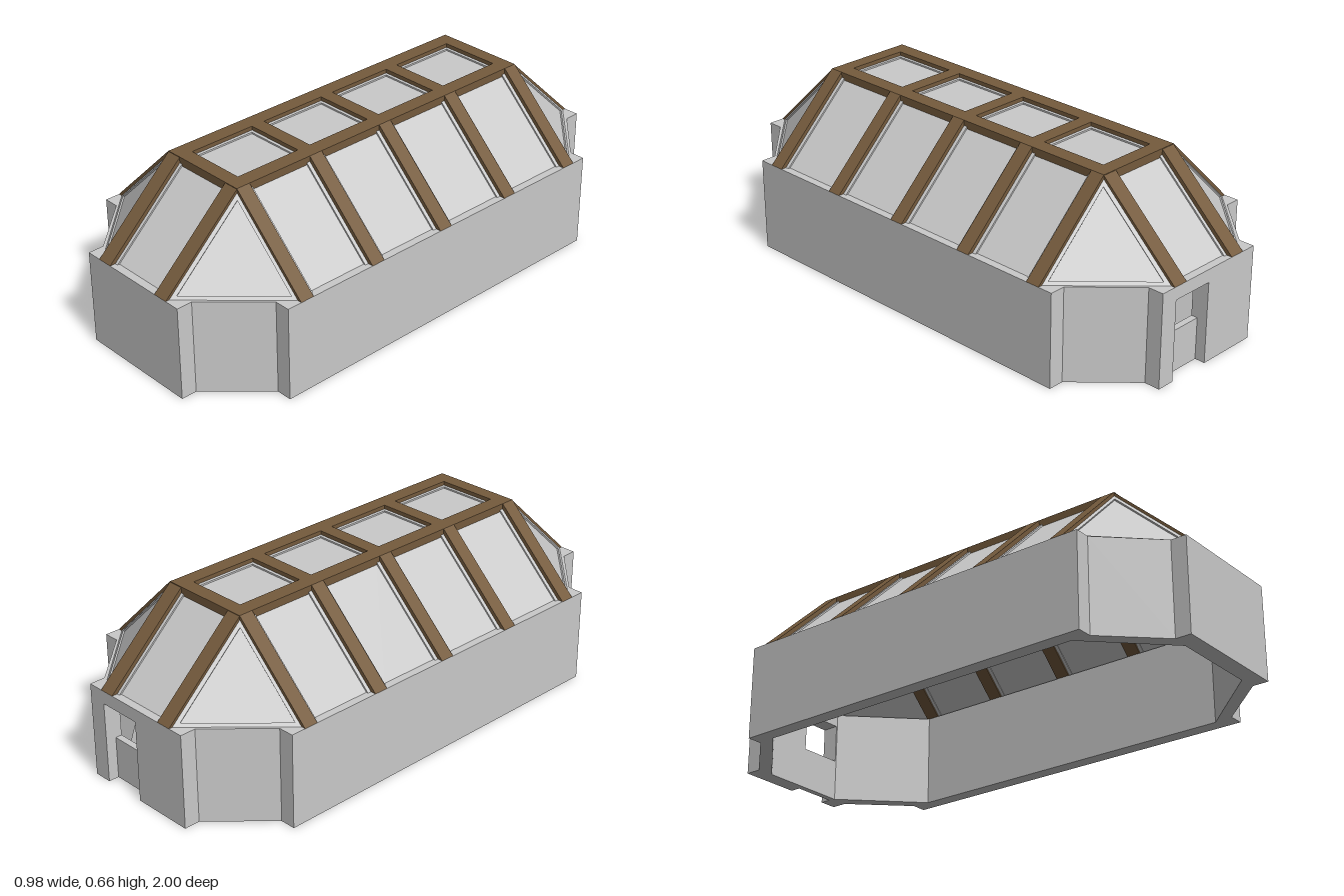
import * as THREE from 'three';

const V = (x, y, z) => new THREE.Vector3(x, y, z);
const EAVE = 0.36, RIDGE = 0.66;      // roof heights
const HALF_W = 0.49, TOP_W = 0.18;    // roof half widths at eave and top
const HALF_L = 1, TOP_L = 0.68;       // roof half lengths at eave and top
const BEAM = 0.055, RAIL = 0.06, THICK = 0.035;

const grey = new THREE.MeshStandardMaterial({ color: 0xcacaca });
grey.name = 'palePlaster';
const brown = new THREE.MeshStandardMaterial({ color: 0x755b3d });
brown.name = 'brownTimber';

function mesh(name, geometry, material) {
  const m = new THREE.Mesh(geometry, material);
  m.name = name;
  return m;
}

const toShape = pts => new THREE.Shape(pts.map(p => new THREE.Vector2(p[0], p[1])));
const extrude = (shape, depth) => new THREE.ExtrudeGeometry(shape, { depth, bevelEnabled: false });

// Bent strip following the roof outline, base half width w, top half width t
function archGeometry(w, t, width) {
  const bw = w - THICK * 1.41, tw = t - THICK * 0.41, ty = RIDGE - THICK;
  const geo = extrude(toShape([
    [w, EAVE], [t, RIDGE], [-t, RIDGE], [-w, EAVE],
    [-bw, EAVE], [-tw, ty], [tw, ty], [bw, EAVE],
  ]), width);
  return geo.translate(0, 0, -width / 2);
}

// Moves every edge of a convex counter-clockwise polygon inwards
function insetPolygon(pts, d) {
  const n = pts.length;
  return pts.map((p, i) => {
    const a = p.clone().sub(pts[(i + n - 1) % n]).normalize();
    const b = pts[(i + 1) % n].clone().sub(p).normalize();
    const na = new THREE.Vector2(-a.y, a.x), nb = new THREE.Vector2(-b.y, b.x);
    return p.clone().addScaledVector(na.clone().add(nb), d / (1 + na.dot(nb)));
  });
}

// Framed panel with a sunken pane; corners counter-clockwise seen from outside
function panel(name, corners, border, sink) {
  const u = corners[1].clone().sub(corners[0]).normalize();
  const n = u.clone().cross(corners[2].clone().sub(corners[0])).normalize();
  const v = n.clone().cross(u);
  const flat = corners.map(c => {
    const d = c.clone().sub(corners[0]);
    return new THREE.Vector2(d.dot(u), d.dot(v));
  });
  const inner = insetPolygon(flat, border);
  const frame = new THREE.Shape(flat);
  frame.holes.push(new THREE.Path(inner));
  const origin = corners[0].clone().addScaledVector(n, -sink);
  const place = new THREE.Matrix4().makeBasis(u, v, n).setPosition(origin);
  const g = new THREE.Group();
  g.name = name;
  g.add(
    mesh('panelFrame', extrude(frame, 0.014).translate(0, 0, -0.014).applyMatrix4(place), grey),
    mesh('pane', extrude(new THREE.Shape(inner), 0.006).translate(0, 0, -0.012).applyMatrix4(place), grey),
  );
  return g;
}

function buildWalls() {
  const g = new THREE.Group();
  g.name = 'walls';
  const doorL = 0.17, doorR = 0, doorTop = 0.31, inZ = 0.935;
  // Ring with stepped corners, left open at the doorway in the back
  const ring = toShape([
    [doorL, 1], [0.24, 1], [0.24, 0.94], [0.43, 0.74], [0.49, 0.74],
    [0.49, -0.74], [0.43, -0.74], [0.24, -0.94], [0.24, -1],
    [-0.24, -1], [-0.24, -0.94], [-0.43, -0.74], [-0.49, -0.74],
    [-0.49, 0.74], [-0.43, 0.74], [-0.24, 0.94], [-0.24, 1], [doorR, 1],
    [doorR, inZ], [-0.175, inZ], [-0.435, 0.67], [-0.435, -0.67], [-0.175, -inZ],
    [0.175, -inZ], [0.435, -0.67], [0.435, 0.67], [0.175, inZ], [doorL, inZ],
  ]);
  g.add(mesh('wallRing', extrude(ring, EAVE).rotateX(-Math.PI / 2), grey));

  const w = doorL - doorR, cx = (doorL + doorR) / 2;
  const lintel = mesh('doorLintel', new THREE.BoxGeometry(w, EAVE - doorTop, 1 - inZ), grey);
  lintel.position.set(cx, (EAVE + doorTop) / 2, -(1 + inZ) / 2);
  const half = mesh('lowerDoor', new THREE.BoxGeometry(w, 0.16, 0.025), grey);
  half.position.set(cx, 0.08, -inZ - 0.0125);
  g.add(lintel, half);
  return g;
}

function buildBeams() {
  const g = new THREE.Group();
  g.name = 'roofBeams';
  for (const z of [-0.655, -0.33, 0, 0.33, 0.655]) {
    const arch = mesh('crossBeam', archGeometry(HALF_W, TOP_W, BEAM), brown);
    arch.position.z = z;
    g.add(arch);
  }
  for (const s of [-1, 1]) {
    const rail = mesh('lengthBeam', archGeometry(HALF_L, TOP_L, RAIL).rotateY(Math.PI / 2), brown);
    rail.position.x = s * (TOP_W - RAIL / 2);
    g.add(rail);
  }
  return g;
}

function buildPanels() {
  const g = new THREE.Group();
  g.name = 'roofPanels';
  const px = TOP_W - RAIL;
  // Top and side panels for each bay
  for (const [a, b] of [[-0.6275, -0.3575], [-0.3025, -0.0275], [0.0275, 0.3025], [0.3575, 0.6275]]) {
    g.add(
      panel('topPanel', [V(-px, RIDGE, b), V(px, RIDGE, b), V(px, RIDGE, a), V(-px, RIDGE, a)], 0.012, 0.015),
      panel('leftPanel', [V(HALF_W, EAVE, b), V(HALF_W, EAVE, a), V(TOP_W, RIDGE, a), V(TOP_W, RIDGE, b)], 0.014, 0.015),
      panel('rightPanel', [V(-HALF_W, EAVE, a), V(-HALF_W, EAVE, b), V(-TOP_W, RIDGE, b), V(-TOP_W, RIDGE, a)], 0.014, 0.015),
    );
  }
  // Sloping end panel and two triangular corners, repeated at the back
  for (const turn of [0, Math.PI]) {
    const end = new THREE.Group();
    end.name = turn ? 'backEnd' : 'frontEnd';
    const apexL = V(TOP_W, RIDGE, TOP_L), apexR = V(-TOP_W, RIDGE, TOP_L);
    end.add(
      panel('endPanel', [V(-px, EAVE, HALF_L), V(px, EAVE, HALF_L), V(px, RIDGE, TOP_L), V(-px, RIDGE, TOP_L)], 0.012, 0.015),
      panel('leftCorner', [V(TOP_W, EAVE, HALF_L), V(HALF_W, EAVE, TOP_L), apexL], 0.02, 0.008),
      panel('rightCorner', [V(-HALF_W, EAVE, TOP_L), V(-TOP_W, EAVE, HALF_L), apexR], 0.02, 0.008),
    );
    end.rotation.y = turn;
    g.add(end);
  }
  return g;
}

export function createModel() {
  const model = new THREE.Group();
  model.name = 'glazedHall';
  model.add(buildWalls(), buildBeams(), buildPanels());
  return model;
}
